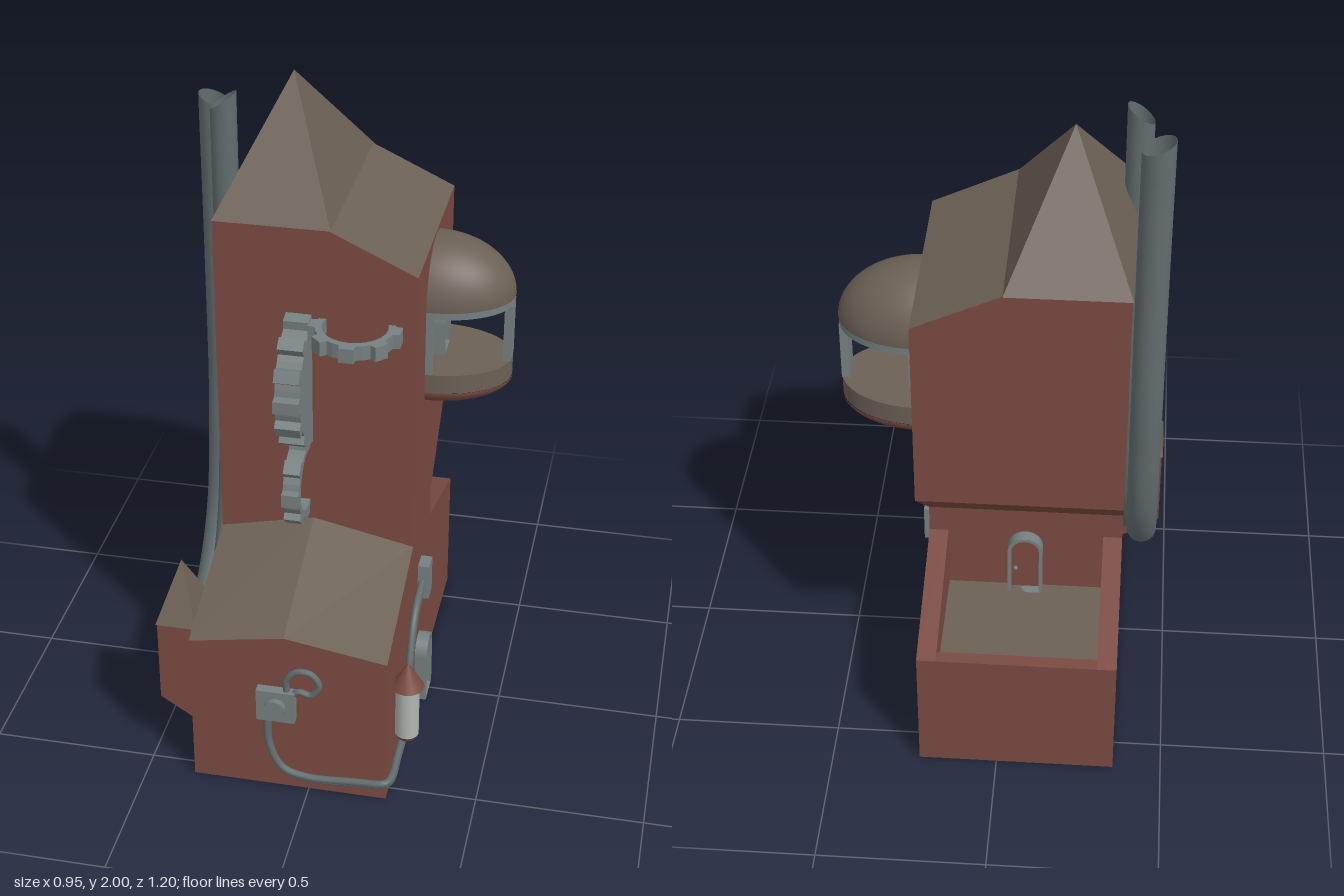
import * as THREE from 'three';

const mat = (name, color, side = THREE.FrontSide) => {
  const m = new THREE.MeshStandardMaterial({ color, side });
  m.name = name;
  return m;
};
const V = (p) => new THREE.Vector3(...p);

export function createModel() {
  const root = new THREE.Group();
  root.name = 'towerHouse';
  const red = mat('brickRed', 0x7a4a42);
  const brown = mat('roofBrown', 0x6b6055);
  const grey = mat('metalGrey', 0x768080);
  const pipeGrey = mat('pipeGrey', 0x626d6e, THREE.DoubleSide);
  const pale = mat('lanternGlass', 0xb0b6b1);

  const add = (name, geo, m, pos = [0, 0, 0], parent = root) => {
    const mesh = new THREE.Mesh(geo, m);
    mesh.name = name;
    mesh.position.set(...pos);
    parent.add(mesh);
    return mesh;
  };
  const box = (name, m, x0, x1, y0, y1, z0, z1, parent) =>
    add(name, new THREE.BoxGeometry(x1 - x0, y1 - y0, z1 - z0), m,
      [(x0 + x1) / 2, (y0 + y1) / 2, (z0 + z1) / 2], parent);

  // Flat faces, each turned away from an inner point
  const faces = (name, m, inner, list) => {
    const out = [];
    for (const f of list) {
      let p = f.map(V);
      const mid = p.reduce((s, v) => s.add(v), new THREE.Vector3()).divideScalar(p.length);
      const n = p[1].clone().sub(p[0]).cross(p[2].clone().sub(p[0]));
      if (n.dot(mid.sub(V(inner))) < 0) p = p.reverse();
      for (let i = 1; i < p.length - 1; i++) out.push(p[0], p[i], p[i + 1]);
    }
    const g = new THREE.BufferGeometry().setFromPoints(out);
    g.computeVertexNormals();
    return add(name, g, m);
  };
  const shapeOf = (pts) => new THREE.Shape(pts.map((p) => new THREE.Vector2(...p)));
  const extrude = (shape, depth) =>
    new THREE.ExtrudeGeometry(shape, { depth, bevelEnabled: false, curveSegments: 12 });
  // Side profile in (z, y), running from xMax towards -x
  const sideProfile = (name, m, pts, xMax, width) =>
    add(name, extrude(shapeOf(pts), width).rotateY(-Math.PI / 2), m, [xMax, 0, 0]);

  const L = 0.235, R = -0.355, W = L - R, ridge = -0.07;

  // Main body with overhanging tower
  sideProfile('body', red, [[0.55, 0], [0.55, 0.5], [0.14, 0.635], [0.14, 1.54], [-0.49, 1.54],
    [-0.49, 0.94], [-0.17, 0.64], [-0.17, 0.335], [-0.6, 0.335], [-0.6, 0]], L, W);

  // Rear terrace: parapets and floor
  for (const x of [L, R + 0.058])
    sideProfile('terraceSideWall', red,
      [[-0.17, 0.335], [-0.17, 0.55], [-0.6, 0.415], [-0.6, 0.335]], x, 0.058);
  box('terraceBackWall', red, R + 0.058, L - 0.058, 0.335, 0.415, -0.6, -0.56);
  box('terraceFloor', brown, R + 0.058, L - 0.058, 0.335, 0.34, -0.56, -0.17);

  // Porch roof and its gable
  const inPorch = [ridge, 0.4, 0.3];
  faces('porchRoof', brown, inPorch, [L, R].map((x) =>
    [[x, 0.502, 0.552], [ridge, 0.552, 0.552], [ridge, 0.702, 0.14], [x, 0.637, 0.14]]));
  faces('porchGable', red, inPorch, [[[R, 0.5, 0.55], [L, 0.5, 0.55], [ridge, 0.55, 0.55]]]);

  // Tower head: red walls, sloping lean-to roof, pyramid spire
  const inHead = [-0.1, 1.56, -0.18];
  const headEnd = (z) => [[R, 1.54, z], [L, 1.54, z], [-0.02, 1.66, z], [R, 1.66, z]];
  faces('towerHead', red, inHead, [headEnd(0.14), headEnd(-0.49),
    [[R, 1.54, 0.14], [R, 1.66, 0.14], [R, 1.66, -0.49], [R, 1.54, -0.49]]]);
  faces('leanToRoof', brown, inHead,
    [[[L, 1.541, 0.14], [-0.02, 1.661, 0.14], [-0.02, 1.661, -0.49], [L, 1.541, -0.49]]]);
  const pyramid = (name, x0, x1, y, z0, z1, top) => {
    const c = [[x0, y, z0], [x1, y, z0], [x1, y, z1], [x0, y, z1]];
    const apex = [(x0 + x1) / 2, top, (z0 + z1) / 2];
    const list = c.map((p, i) => [p, c[(i + 1) % 4], apex]);
    faces(name, brown, [apex[0], y + 0.02, apex[2]], [...list, c]);
  };
  pyramid('spire', -0.358, -0.015, 1.658, -0.495, 0.138, 2);

  // Side turret with sloping underside
  add('turret', extrude(shapeOf([[-0.473, 0.22], [-0.35, 0.138], [-0.35, 0.49], [-0.473, 0.49]]), 0.176),
    red, [0, 0, 0.302]);
  pyramid('turretRoof', -0.477, -0.353, 0.488, 0.298, 0.482, 0.67);

  // Tall chimney pipes with slanted mouths
  const chimney = (pts, r, slope) => {
    const path = new THREE.CatmullRomCurve3(pts.map(V));
    const g = new THREE.TubeGeometry(path, 60, r, 20);
    const end = pts[pts.length - 1], p = g.attributes.position;
    for (let i = p.count - 21; i < p.count; i++)
      p.setY(i, p.getY(i) + slope * (p.getX(i) - end[0]));
    add('chimneyPipe', g, pipeGrey);
    add('chimneyPlug', new THREE.CircleGeometry(r * 0.98, 20).rotateX(-Math.PI / 2), grey,
      [end[0], end[1] - 0.06, end[2]]);
  };
  chimney([[-0.415, 0.33, 0.32], [-0.415, 0.35, 0.12], [-0.412, 0.55, -0.05], [-0.41, 0.9, -0.12],
    [-0.408, 1.4, -0.13], [-0.408, 1.915, -0.13]], 0.047, -0.4);
  chimney([[-0.37, 0.3, 0.32], [-0.37, 0.34, 0.18], [-0.365, 0.55, 0.04], [-0.36, 0.9, -0.02],
    [-0.358, 1.4, -0.03], [-0.357, 1.955, -0.03]], 0.038, 0.7);

  // Gears
  const gearShape = (teeth, body, tip, hole) => {
    const pts = [], step = (Math.PI * 2) / teeth;
    const at = (r, a) => pts.push([r * Math.cos(a), r * Math.sin(a)]);
    for (let i = 0; i < teeth; i++) {
      const a = i * step;
      at(body, a - step * 0.27);
      at(tip, a - step * 0.2);
      at(tip, a + step * 0.2);
      at(body, a + step * 0.27);
      at(body, a + step * 0.5);
    }
    const s = shapeOf(pts);
    if (hole) s.holes.push(new THREE.Path().absarc(0, 0, hole, 0, Math.PI * 2, true));
    return s;
  };
  add('largeGear', extrude(gearShape(14, 0.187, 0.213, 0), 0.075).rotateY(-Math.PI / 2), grey, [-0.07, 1.185, 0.115]);
  const ring = gearShape(8, 0.115, 0.135, 0.095);
  add('lowerRingGear', extrude(ring, 0.05).rotateY(-Math.PI / 2), grey, [-0.08, 0.857, 0.17]);
  add('flatRingGear', extrude(ring, 0.045).rotateX(-Math.PI / 2), grey, [0.062, 1.34, 0.17]);

  // Arched doors, built facing +z
  const door = (pos, turn, h) => {
    const g = new THREE.Group();
    g.name = 'archedDoor';
    const arch = (s, w, top) => {
      s.moveTo(-w, 0).lineTo(w, 0).lineTo(w, top - w);
      s.absarc(0, top - w, w, 0, Math.PI, false);
      s.lineTo(-w, 0);
      return s;
    };
    const frame = arch(new THREE.Shape(), 0.053, h);
    frame.holes.push(arch(new THREE.Path(), 0.043, h - 0.01));
    add('doorFrame', extrude(frame, 0.038), grey, [0, 0, 0], g);
    add('doorPanel', extrude(arch(new THREE.Shape(), 0.043, h - 0.01), 0.008), red, [0, 0, 0], g);
    add('doorKnob', new THREE.SphereGeometry(0.007, 10, 8), grey, [-0.03, h * 0.36, 0.014], g);
    g.position.set(...pos);
    g.rotation.y = turn;
    root.add(g);
  };
  door([L, 0, 0.012], Math.PI / 2, 0.218);
  door([-0.06, 0.34, -0.17], Math.PI, 0.218);
  door([L, 1.15, -0.19], Math.PI / 2, 0.155);

  // Half-oval lookout cabin on the left wall
  const cabin = new THREE.Group();
  cabin.name = 'lookoutCabin';
  cabin.position.set(L, 0, -0.17);
  root.add(cabin);
  const halfBand = (name, m, y0, y1) => {
    const g = new THREE.CylinderGeometry(1, 1, y1 - y0, 32, 1, false, 0, Math.PI);
    add(name, g.scale(0.238, 1, 0.164), m, [0, (y0 + y1) / 2, 0], cabin);
  };
  const halfBowl = (name, m, y, h, start) => {
    const g = new THREE.SphereGeometry(1, 32, 14, Math.PI / 2, Math.PI, start, Math.PI / 2);
    add(name, g.scale(0.24, h, 0.165), m, [0, y, 0], cabin);
  };
  halfBowl('cabinDome', brown, 1.357, 0.176, 0);
  halfBand('cabinRoofRing', grey, 1.335, 1.357);
  halfBand('cabinSill', brown, 1.09, 1.15);
  halfBowl('cabinBowl', red, 1.09, 0.072, Math.PI / 2);
  box('cabinFrontPost', grey, 0.212, 0.236, 1.15, 1.335, -0.034, 0.034, cabin);
  for (const s of [-1, 1])
    box('cabinSidePost', grey, 0, 0.02, 1.15, 1.335, s * 0.153 - 0.01, s * 0.153 + 0.01, cabin);

  // Front control box with dial and curled tube
  box('controlBox', grey, -0.15, -0.035, 0.265, 0.372, 0.55, 0.58);
  add('controlDial', new THREE.CylinderGeometry(0.033, 0.033, 0.018, 10).rotateX(Math.PI / 2), grey, [-0.092, 0.318, 0.588]);
  const tube = (name, pts, r) =>
    add(name, new THREE.TubeGeometry(new THREE.CatmullRomCurve3(pts.map(V)), 90, r, 10), pipeGrey);
  tube('curledTube', [[-0.06, 0.36, 0.562], [-0.06, 0.41, 0.562], [-0.03, 0.444, 0.562], [0.012, 0.442, 0.562],
    [0.036, 0.405, 0.562], [0.012, 0.366, 0.562], [-0.025, 0.372, 0.562], [-0.06, 0.345, 0.562]], 0.01);

  // Twin tubes round the corner to the wall box
  const run = [[-0.12, 0.27, 0.558], [-0.116, 0.16, 0.558], [-0.075, 0.07, 0.558], [0, 0.045, 0.558],
    [0.13, 0.05, 0.558], [0.235, 0.062, 0.56], [0.248, 0.062, 0.535], [0.248, 0.055, 0.42],
    [0.248, 0.06, 0.33], [0.248, 0.12, 0.272], [0.248, 0.28, 0.225], [0.248, 0.39, 0.15], [0.248, 0.425, 0.02]];
  tube('wallTube', run, 0.011);
  tube('wallTube', run.map(([x, y, z]) => [x, y + 0.014, z + 0.01]), 0.011);
  box('wallBox', grey, L, 0.27, 0.378, 0.497, -0.02, 0.04);

  // Hanging lantern
  const lantern = (name, r0, r1, y0, y1, m) =>
    add(name, new THREE.CylinderGeometry(r1, r0, y1 - y0, 24), m, [0.272, (y0 + y1) / 2, 0.41]);
  lantern('lanternGlass', 0.036, 0.036, 0.15, 0.328, pale);
  lantern('lanternCap', 0.05, 0, 0.326, 0.41, red);
  lantern('lanternBase', 0.028, 0.036, 0.135, 0.15, red);
  tube('lanternTube', [[0.272, 0.14, 0.41], [0.268, 0.112, 0.395], [0.255, 0.108, 0.32], [0.248, 0.15, 0.265]], 0.011);

  return root;
}
